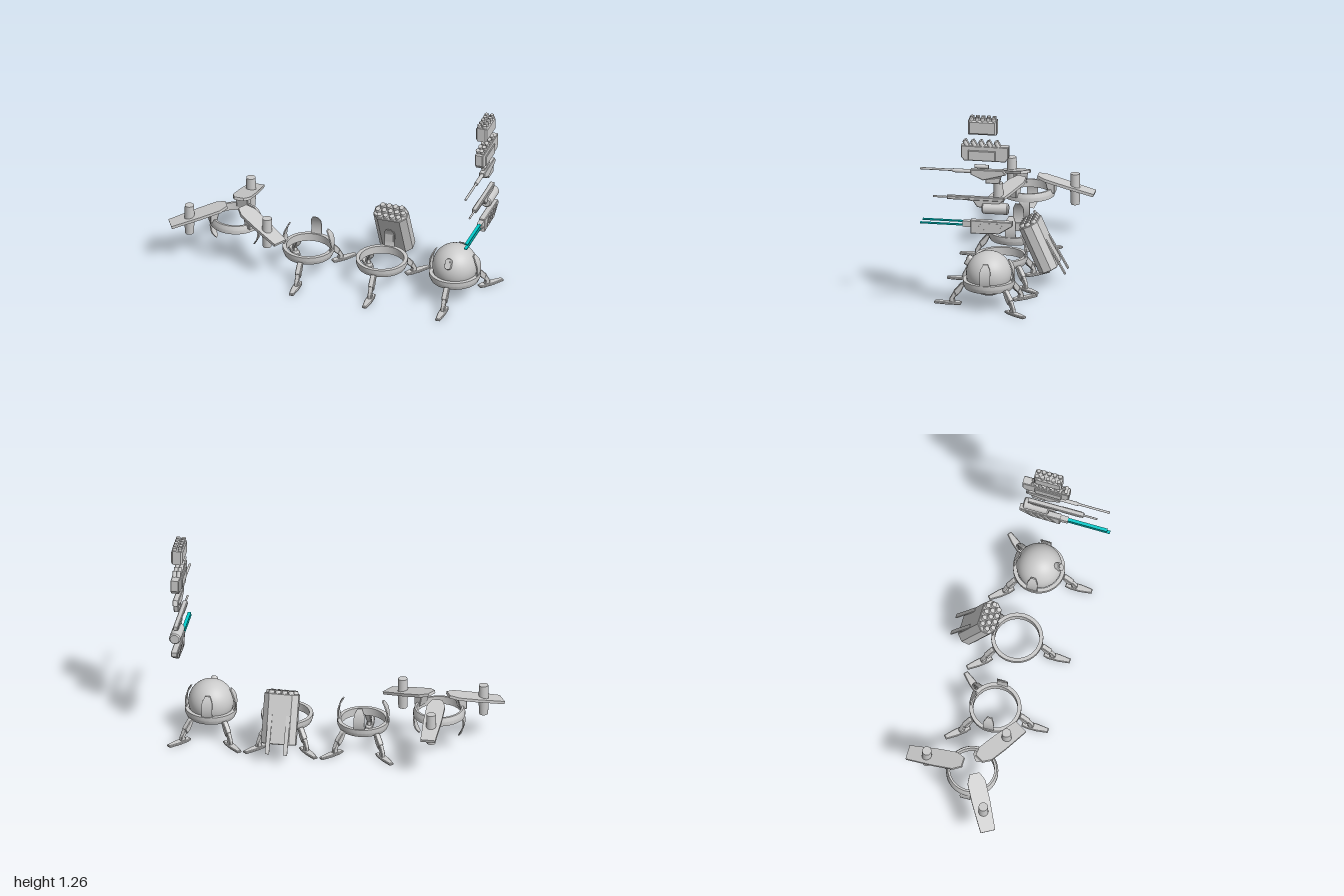
import * as THREE from 'three';
import { toCreasedNormals } from 'three/addons/utils/BufferGeometryUtils.js';

const grey = new THREE.MeshStandardMaterial({ color: 0xcccccc });
const teal = new THREE.MeshStandardMaterial({ color: 0x00cccc });
const CY = 0.209; // height of the core centre every ring is built around

function add(parent, name, geo, x = 0, y = 0, z = 0, mat = grey) {
  const m = new THREE.Mesh(geo, mat);
  m.name = name;
  m.position.set(x, y, z);
  parent.add(m);
  return m;
}

function group(parent, name, x = 0, y = 0, z = 0, ry = 0) {
  const g = new THREE.Group();
  g.name = name;
  g.position.set(x, y, z);
  g.rotation.y = ry;
  parent.add(g);
  return g;
}

const box = (w, h, d) => new THREE.BoxGeometry(w, h, d);
const cyl = (r1, r2, h, n = 20) => new THREE.CylinderGeometry(r1, r2, h, n);
const rod = (r, len, n = 14) => cyl(r, r, len, n).rotateX(Math.PI / 2);
const outline = (pts) => new THREE.Shape(pts.map(([x, y]) => new THREE.Vector2(x, y)));

// Side profile given as [z, y], extruded across x with a small chamfer
function slab(pts, width, bevel = 0.004) {
  const g = new THREE.ExtrudeGeometry(outline(pts), {
    depth: width - 2 * bevel, bevelEnabled: bevel > 0, bevelThickness: bevel,
    bevelSize: bevel, bevelOffset: -bevel, bevelSegments: 1,
  });
  return g.translate(0, 0, bevel - width / 2).rotateY(-Math.PI / 2);
}

// Pointed plate wrapped round the core, standing on the ring at +z
function clawGeometry() {
  const g = box(0.065, 0.145, 0.008).toNonIndexed() && new THREE.BoxGeometry(0.065, 0.145, 0.008, 2, 10, 1);
  const p = g.attributes.position;
  for (let i = 0; i < p.count; i++) {
    const y = p.getY(i) + 0.0725 + 0.155;
    const taper = 1 - 0.55 * Math.max(0, (y - 0.265) / 0.035);
    const r = Math.sqrt(0.151 ** 2 - (y - CY) ** 2);
    p.setXYZ(i, p.getX(i) * taper, y, r + p.getZ(i));
  }
  return toCreasedNormals(g, 0.6);
}

// Ring with tapered underside and claws at the given angles
function addRing(parent, clawAngles) {
  const pts = [[0.134, 0.122], [0.147, 0.122], [0.157, 0.147], [0.157, 0.172], [0.134, 0.172], [0.134, 0.122]];
  const lathe = new THREE.LatheGeometry(pts.map(([x, y]) => new THREE.Vector2(x, y)), 40);
  add(parent, 'ring', toCreasedNormals(lathe, 0.4));
  for (const a of clawAngles) add(parent, 'claw', clawGeometry()).rotation.y = a;
}

// One front leg and two splayed back legs
function addLegs(parent) {
  for (const a of [0, Math.PI - 0.71, Math.PI + 0.71]) {
    const leg = group(parent, 'leg', 0, 0, 0, a);
    add(leg, 'thigh', slab([[0.138, 0.125], [0.16, 0.14], [0.172, 0.135], [0.213, 0.088], [0.197, 0.054], [0.17, 0.08], [0.15, 0.12]], 0.034));
    add(leg, 'shin', slab([[0.213, 0.086], [0.238, 0.04], [0.24, 0.012], [0.203, 0.012], [0.21, 0.038], [0.196, 0.056]], 0.024));
    const sole = outline([[-0.016, 0.168], [0.016, 0.168], [0.023, 0.2], [0.023, 0.26], [0.014, 0.332], [-0.014, 0.332], [-0.023, 0.26], [-0.023, 0.2]]);
    const foot = new THREE.ExtrudeGeometry(sole, { depth: 0.008, bevelThickness: 0.004, bevelSize: 0.004, bevelOffset: -0.004, bevelSegments: 1 });
    add(leg, 'foot', foot.rotateX(Math.PI / 2), 0, 0.013, 0);
  }
}

// Three sloping arms with upright motors above an upturned ring
function addFlyer(root) {
  const flyer = group(root, 'flyer', -0.628, 0, 0.005);
  const frame = group(flyer, 'upturnedRing', 0, 2 * CY, 0);
  frame.rotation.z = Math.PI;
  addRing(frame, [Math.PI / 2, -Math.PI / 2]);
  const half = [[0.03, 0.062], [0.055, 0.115], [0.055, 0.24], [0.045, 0.421]];
  const plan = outline([...half, ...half.map(([x, y]) => [-x, y]).reverse()]);
  for (const k of [0, 1, 2]) {
    const arm = group(flyer, 'arm', 0, 0, 0, Math.PI + k * Math.PI * 2 / 3);
    const plate = new THREE.ExtrudeGeometry(plan, { depth: 0.018, bevelEnabled: false }).rotateX(Math.PI / 2);
    add(arm, 'armPlate', plate, 0, 0.394, 0).rotation.x = 0.273;
    add(arm, 'armMount', slab([[0.125, 0.27], [0.165, 0.27], [0.165, 0.335], [0.105, 0.352]], 0.075));
    add(arm, 'motorTop', cyl(0.028, 0.031, 0.1), 0, 0.343, 0.285);
    add(arm, 'motorBottom', cyl(0.031, 0.027, 0.093), 0, 0.2465, 0.285);
  }
}

// Tilted launcher carried behind a ring
function addLauncher(parent) {
  const box8 = [[0.105, -0.025], [0.105, 0.025], [0.07, 0.06], [-0.07, 0.06], [-0.105, 0.025], [-0.105, -0.025], [-0.07, -0.06], [0.07, -0.06]];
  const launcher = group(parent, 'launcher', 0, 0.25, -0.235);
  launcher.rotation.x = 0.42;
  const body = new THREE.ExtrudeGeometry(outline(box8), { depth: 0.3, bevelThickness: 0.004, bevelSize: 0.004, bevelOffset: -0.004, bevelSegments: 1 });
  add(launcher, 'launcherBody', body.rotateX(-Math.PI / 2), 0, -0.15, 0);
  [4, 5, 4].forEach((n, row) => {
    for (let i = 0; i < n; i++) {
      add(launcher, 'tube', cyl(0.015, 0.019, 0.02, 14), (i - (n - 1) / 2) * 0.04, 0.163, (row - 1) * 0.036);
    }
  });
  for (const s of [-1, 1]) add(parent, 'launcherRail', box(0.025, 0.24, 0.008), s * 0.055, 0.192, -0.338).rotation.x = 0.52;
  add(parent, 'launcherBracket', box(0.05, 0.06, 0.04), 0, 0.235, -0.16);
}

function addWeapons(root) {
  const rack = group(root, 'weapons', 0.963, 0, 0);

  // Upright tube pack
  const pack = group(rack, 'tubePack');
  add(pack, 'packBody', slab([[0.102, 1.158], [0.102, 1.248], [-0.07, 1.248], [-0.07, 1.158]], 0.07, 0.01));
  // Angled tube pack
  const angled = group(rack, 'angledTubePack');
  add(angled, 'angledBody', slab([[0.148, 1.085], [0.148, 1.015], [0.128, 0.99], [-0.123, 0.99], [-0.143, 1.015], [-0.143, 1.085]], 0.052));
  add(angled, 'sidePanel', slab([[0.102, 0.993], [0.102, 1.057], [-0.065, 1.057], [-0.065, 0.993]], 0.066));
  for (let i = 0; i < 5; i++) {
    for (const s of [-1, 1]) {
      add(pack, 'packTube', cyl(0.0125, 0.0135, 0.03, 14), s * 0.017, 1.25, 0.084 - i * 0.034);
      add(angled, 'angledTube', cyl(0.0125, 0.0135, 0.07, 14), s * 0.0125, 1.082, 0.112 - i * 0.048).rotation.x = 0.5;
    }
  }

  // Long rifle
  const rifle = group(rack, 'longRifle');
  add(rifle, 'rifleBody', slab([[0.09, 0.932], [-0.107, 0.934], [-0.125, 0.905], [0.015, 0.866], [0.09, 0.9]], 0.036));
  add(rifle, 'rifleBarrel', rod(0.007, 0.32), 0, 0.918, 0.238);
  add(rifle, 'barrelSleeve', rod(0.012, 0.12), 0, 0.916, 0.14);
  add(rifle, 'magazine', slab([[0, 0.875], [-0.095, 0.89], [-0.087, 0.846], [-0.002, 0.847]], 0.03));
  add(rifle, 'scope', rod(0.012, 0.085), 0, 0.949, 0.024);
  add(rifle, 'scopeMount', box(0.014, 0.016, 0.04), 0, 0.936, 0.024);

  // Gun with a tank slung under it
  const gun = group(rack, 'tankGun');
  add(gun, 'gunBody', slab([[0.235, 0.757], [-0.113, 0.757], [-0.113, 0.735], [0.235, 0.735]], 0.03));
  add(gun, 'gunNeck', slab([[0.14, 0.738], [-0.113, 0.738], [-0.06, 0.705], [0.02, 0.69], [0.05, 0.693], [0.075, 0.728]], 0.024));
  add(gun, 'gunBarrel', rod(0.006, 0.1), 0, 0.745, 0.27);
  add(gun, 'gunShroud', box(0.036, 0.01, 0.12), 0, 0.746, 0.16);
  const tank = [[0, -0.08], [0.028, -0.08], [0.035, -0.073], [0.035, 0.073], [0.028, 0.08], [0, 0.08]];
  const tankGeo = new THREE.LatheGeometry(tank.map(([x, y]) => new THREE.Vector2(x, y)), 20);
  add(gun, 'tank', toCreasedNormals(tankGeo, 0.5).rotateX(Math.PI / 2), 0, 0.687, -0.06);

  // Twin rail gun with slanted vents
  const rail = group(rack, 'railGun');
  add(rail, 'railBody', slab([[0.09, 0.525], [0.09, 0.61], [-0.165, 0.608], [-0.165, 0.582], [-0.085, 0.53]], 0.04));
  add(rail, 'railMount', box(0.032, 0.036, 0.05), 0, 0.584, 0.112);
  add(rail, 'upperRail', box(0.02, 0.007, 0.28), 0, 0.597, 0.243, teal);
  add(rail, 'lowerRail', box(0.02, 0.007, 0.3), 0, 0.574, 0.25, teal);
  for (let i = 0; i < 4; i++) {
    const z = 0.06 - i * 0.045;
    add(rail, 'vent', slab([[z, 0.545], [z - 0.035, 0.595], [z - 0.05, 0.595], [z - 0.015, 0.545]], 0.046, 0));
  }
}

export function createModel() {
  const root = new THREE.Group();
  const side = Math.PI / 2;
  addFlyer(root);

  const walkers = [['openWalker', -0.163], ['launcherWalker', 0.302], ['coreWalker', 0.767]];
  walkers.forEach(([name, x], i) => {
    const w = group(root, name, x, 0, 0.013);
    addRing(w, i === 1 ? [Math.PI] : [Math.PI, side, -side]);
    addLegs(w);
    if (i === 1) addLauncher(w);
    if (i === 2) {
      // Round core with an eye on its brow
      add(w, 'core', new THREE.SphereGeometry(0.137, 40, 28), 0, CY, 0);
      const pill = new THREE.Shape();
      pill.absarc(0, 0.014, 0.02, 0, Math.PI);
      pill.absarc(0, -0.014, 0.02, Math.PI, Math.PI * 2);
      const eye = group(w, 'eye', 0, CY, 0);
      eye.rotation.x = -0.54;
      add(eye, 'eyeHousing', new THREE.ExtrudeGeometry(pill, { depth: 0.05, bevelThickness: 0.004, bevelSize: 0.004, bevelOffset: -0.004, bevelSegments: 2 }), 0, 0, 0.105);
      add(eye, 'lens', rod(0.011, 0.012), 0, 0.012, 0.158);
    }
  });

  addWeapons(root);
  return root;
}
